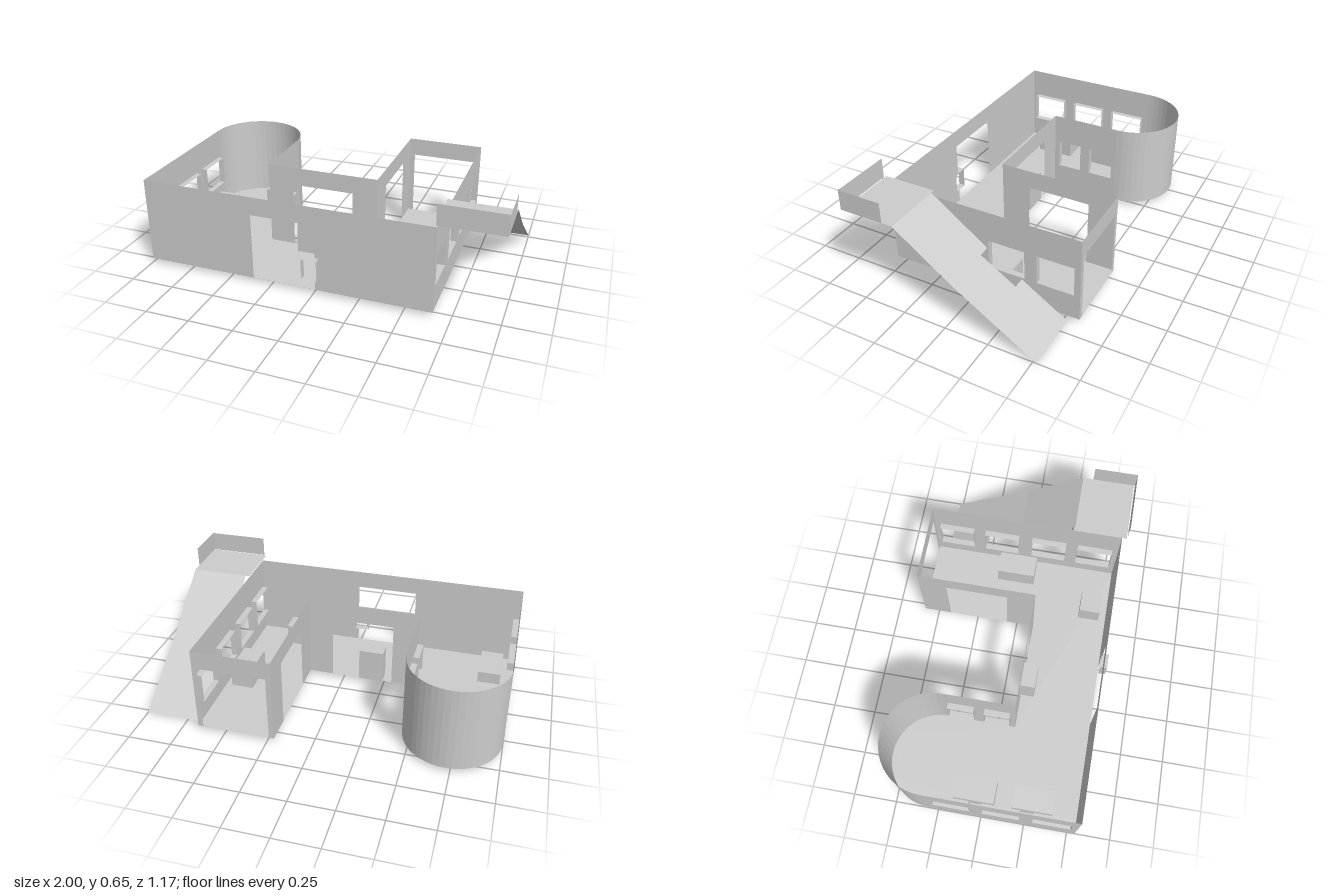
import * as THREE from 'three';

const FLOOR = 0.025, TOP = 0.515, DOOR = 0.41, SILL = 0.17, HEAD = 0.34;

export function createModel() {
  const model = new THREE.Group();
  const plaster = new THREE.MeshStandardMaterial({ color: 0xcccccc, side: THREE.DoubleSide, flatShading: true });
  plaster.name = 'plaster grey';

  const add = (name, geometry, x = 0, y = 0, z = 0) => {
    const mesh = new THREE.Mesh(geometry, plaster);
    mesh.name = name;
    mesh.position.set(x, y, z);
    model.add(mesh);
    return mesh;
  };
  const outline = (points) => new THREE.Shape(points.map(([x, y]) => new THREE.Vector2(x, y)));
  const doorway = (from, to) => [[from, FLOOR], [from, DOOR], [to, DOOR], [to, FLOOR]];

  // Open sleeve around a window, running along local z
  const sleeve = (width, height, depth) => {
    const box = new THREE.BoxGeometry(width, height, depth);
    box.setIndex([...box.index.array].slice(0, 24));
    return box;
  };

  // Thin upright wall along x or z; windows are [from, to] and the door is cut into the foot
  function wall(name, axis, plane, from, to, { door = [], windows = [], inward = 1 } = {}) {
    const shape = outline([[from, FLOOR], ...door, [to, FLOOR], [to, TOP], [from, TOP]]);
    for (const [a, b] of windows) {
      shape.holes.push(outline([[a, SILL], [a, HEAD], [b, HEAD], [b, SILL]]));
      const reveal = add(name + 'WindowReveal', sleeve(b - a, HEAD - SILL, 0.035),
        plane + inward * 0.0175, (SILL + HEAD) / 2, (a + b) / 2);
      reveal.rotation.y = -Math.PI / 2;
    }
    const mesh = add(name, new THREE.ShapeGeometry(shape));
    if (axis === 'x') mesh.position.z = plane;
    else {
      mesh.position.x = plane;
      mesh.rotation.y = -Math.PI / 2;
    }
  }

  // Floor: U-shaped plan with one rounded wing
  const plan = new THREE.Shape();
  plan.moveTo(-1, 0.545);
  plan.lineTo(0.655, 0.545);
  plan.lineTo(0.655, -0.585);
  plan.lineTo(0.21, -0.585);
  plan.lineTo(0.21, 0.105);
  plan.lineTo(-0.45, 0.105);
  plan.lineTo(-0.45, -0.305);
  plan.absarc(-0.725, -0.305, 0.275, 0, -Math.PI, true);
  plan.closePath();
  add('floor', new THREE.ShapeGeometry(plan, 24), 0, FLOOR, 0).rotation.x = Math.PI / 2;

  // Outer walls; the front doorway has a notch for the small hatch
  wall('frontWall', 'x', 0.545, -1, 0.655, {
    door: [[-0.355, FLOOR], [-0.355, DOOR], [0.01, DOOR], [0.01, 0.22], [0.033, 0.22],
      [0.033, 0.1], [0.01, 0.1], [0.01, FLOOR]],
  });
  wall('leftWall', 'z', 0.655, -0.585, 0.545, {
    windows: [[-0.55, -0.34], [-0.27, -0.06], [0.02, 0.23], [0.3, 0.51]], inward: -1,
  });
  wall('rightWall', 'z', -1, -0.305, 0.545, {
    windows: [[-0.27, -0.06], [0.01, 0.22], [0.295, 0.51]],
  });
  wall('backWall', 'x', -0.585, 0.21, 0.655, { door: doorway(0.24, 0.625) });

  // Courtyard walls
  wall('courtyardRearWall', 'x', 0.105, -0.45, 0.21, { door: doorway(-0.3, 0.065) });
  wall('courtyardLeftWall', 'z', 0.21, -0.585, 0.105, { door: doorway(-0.42, -0.06) });
  wall('courtyardRightWall', 'z', -0.45, -0.305, 0.105, {
    windows: [[-0.28, -0.13], [-0.07, 0.075]], inward: -1,
  });

  // Rounded end of the right wing
  add('roundedWall', new THREE.CylinderGeometry(0.275, 0.275, TOP - FLOOR, 24, 1, true, Math.PI / 2, Math.PI),
    -0.725, (TOP + FLOOR) / 2, -0.305);

  // Hatch frame standing proud of the front wall
  add('hatchFrame', sleeve(0.086, 0.12, 0.04), -0.01, 0.16, 0.565);

  // Furniture blocks: x from, x to, z from, z to, top
  for (const [name, x0, x1, z0, z1, top] of [
    ['backTable', -0.935, -0.805, -0.17, 0.065, 0.15],
    ['frontTable', -0.935, -0.805, 0.165, 0.4, 0.15],
    ['sideTable', 0.49, 0.62, -0.17, 0.06, 0.15],
    ['stool', 0.315, 0.445, 0.375, 0.5, 0.15],
    ['counter', -0.245, -0.1, 0.1, 0.185, 0.22],
  ]) {
    add(name, new THREE.BoxGeometry(x1 - x0, top - FLOOR, z1 - z0),
      (x0 + x1) / 2, (top + FLOOR) / 2, (z0 + z1) / 2);
  }

  // Sloping ramp in three strips, the middle one narrower
  const slope = [[-0.52, 0], [-0.26, 0.17], [-0.06, 0.3], [0.265, 0.54]];
  for (let i = 0; i < 3; i++) {
    const [z0, y0] = slope[i], [z1, y1] = slope[i + 1];
    const left = i === 1 ? 0.73 : 0.665;
    const strip = new THREE.BufferGeometry();
    strip.setAttribute('position', new THREE.Float32BufferAttribute(
      [left, y0, z0, 1, y0, z0, 1, y1, z1, left, y1, z1], 3));
    strip.setIndex([0, 2, 1, 0, 3, 2]);
    strip.computeVertexNormals();
    add('ramp', strip);
  }

  // Landing with a parapet on two sides
  add('landing', new THREE.PlaneGeometry(0.36, 0.305), 0.82, 0.54, 0.4175).rotation.x = -Math.PI / 2;
  add('landingFrontParapet', new THREE.PlaneGeometry(0.345, 0.115), 0.8275, 0.5975, 0.575);
  add('landingSideParapet', new THREE.PlaneGeometry(0.25, 0.115), 1, 0.5975, 0.45).rotation.y = Math.PI / 2;

  return model;
}
